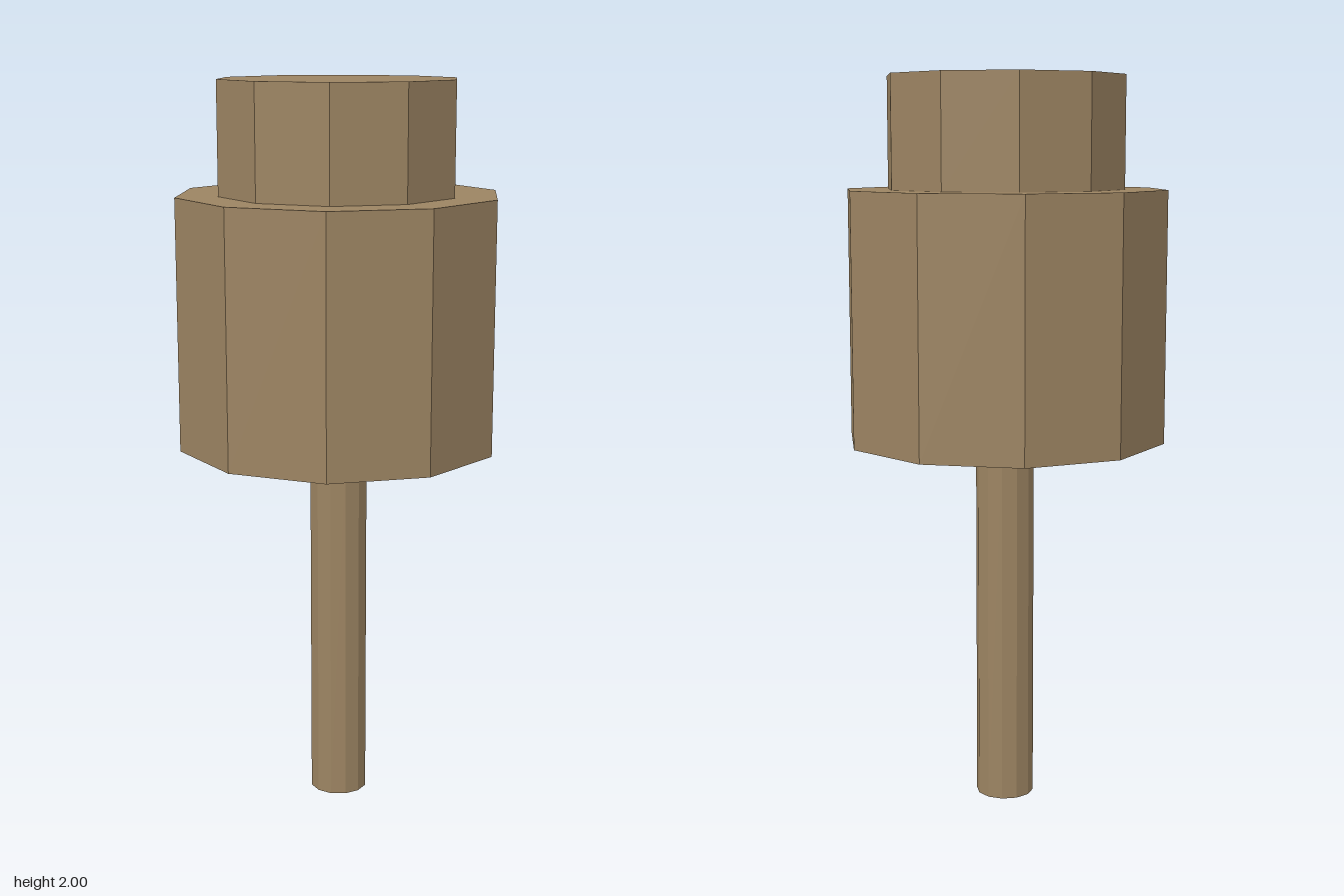
import * as THREE from 'three';

export function createModel() {
  const group = new THREE.Group();
  const material = new THREE.MeshStandardMaterial({ color: 0x9c8462, flatShading: true });

  // Upright faceted cylinder with a corner on the +x axis
  const addCylinder = (name, radius, bottom, top, sides) => {
    const geometry = new THREE.CylinderGeometry(radius, radius, top - bottom, sides, 1, false, Math.PI / 2);
    const mesh = new THREE.Mesh(geometry, material);
    mesh.name = name;
    mesh.position.y = (bottom + top) / 2;
    group.add(mesh);
  };

  addCylinder('stem', 0.08, 0, 1.02, 12);
  addCylinder('body', 0.44, 1.02, 1.7, 10);
  addCylinder('cap', 0.325, 1.7, 2, 10);

  return group;
}
